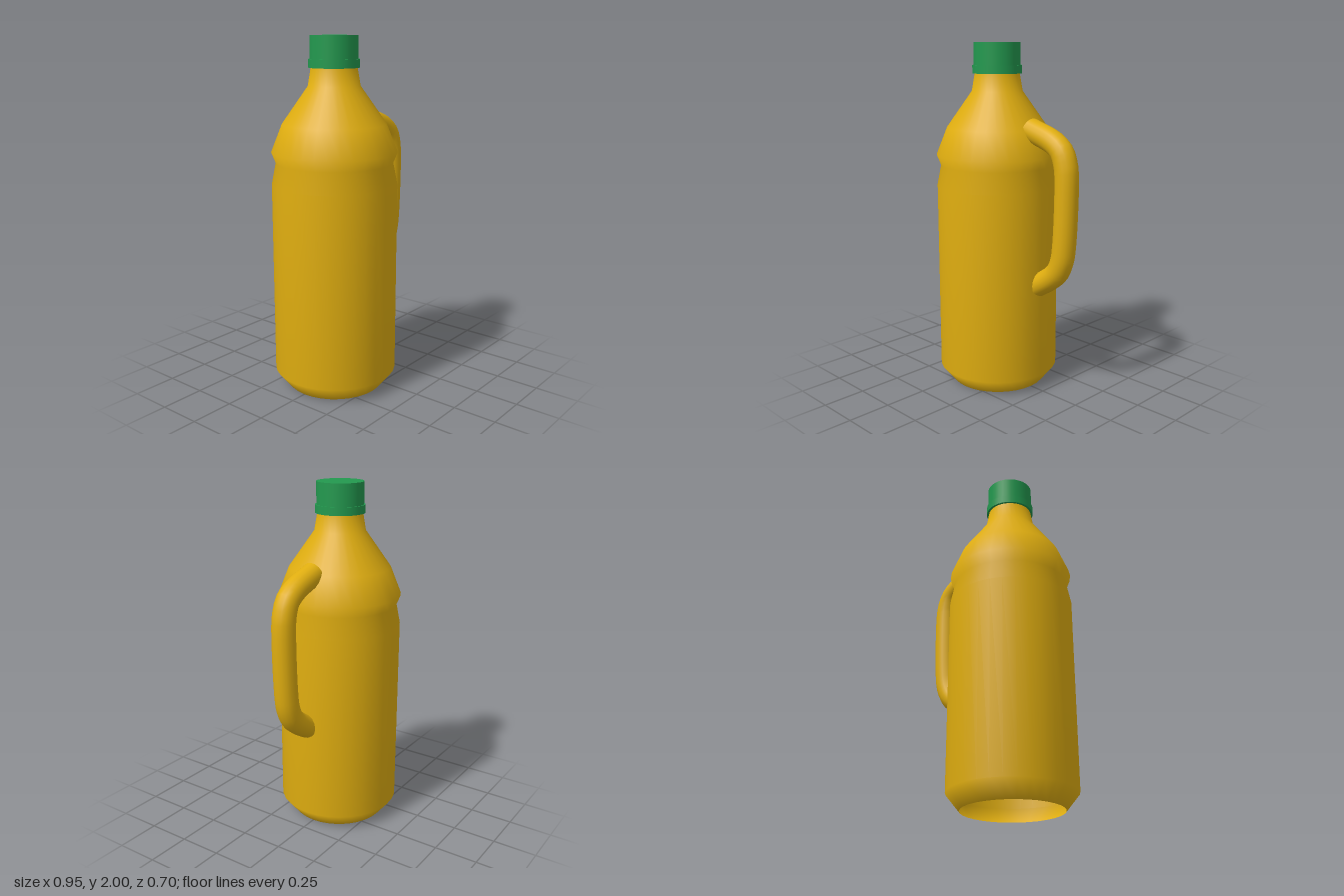
import * as THREE from 'three';

export function createModel() {
  const yellow = new THREE.MeshStandardMaterial({ color: 0xe0ae10, side: THREE.DoubleSide });
  yellow.name = 'yellow plastic';
  const green = new THREE.MeshStandardMaterial({ color: 0x23994f });
  green.name = 'green plastic';

  const group = new THREE.Group();
  group.name = 'bottle';
  const axisX = -0.125; // the bottle stands off centre to make room for the handle

  const add = (name, geometry, material, x = 0, y = 0) => {
    const mesh = new THREE.Mesh(geometry, material);
    mesh.name = name;
    mesh.position.set(x, y, 0);
    group.add(mesh);
  };

  // Hollow body, open underneath, with a pinched waist below the shoulder
  const profile = [
    [0.278, 0], [0.352, 0.092], [0.352, 1.19], [0.328, 1.31],
    [0.352, 1.37], [0.29, 1.525], [0.145, 1.73], [0.126, 1.84],
  ].map(([r, y]) => new THREE.Vector2(r, y));
  add('body', new THREE.LatheGeometry(profile, 32), yellow, axisX);

  // Screw cap with its wider sealing ring
  add('cap', new THREE.CylinderGeometry(0.133, 0.133, 0.13, 32), green, axisX, 1.935);
  add('capRing', new THREE.CylinderGeometry(0.141, 0.141, 0.046, 32), green, axisX, 1.851);

  // Side handle: an open tube whose ends sink into the body
  const path = new THREE.CatmullRomCurve3([
    [0.137, 1.53], [0.31, 1.472], [0.372, 1.425], [0.4, 1.355], [0.408, 1.28],
    [0.398, 0.92], [0.383, 0.82], [0.35, 0.75], [0.3, 0.704], [0.203, 0.643],
  ].map(([x, y]) => new THREE.Vector3(x, y, 0)), false, 'centripetal');
  add('handle', new THREE.TubeGeometry(path, 36, 0.066, 16, false), yellow);

  return group;
}
